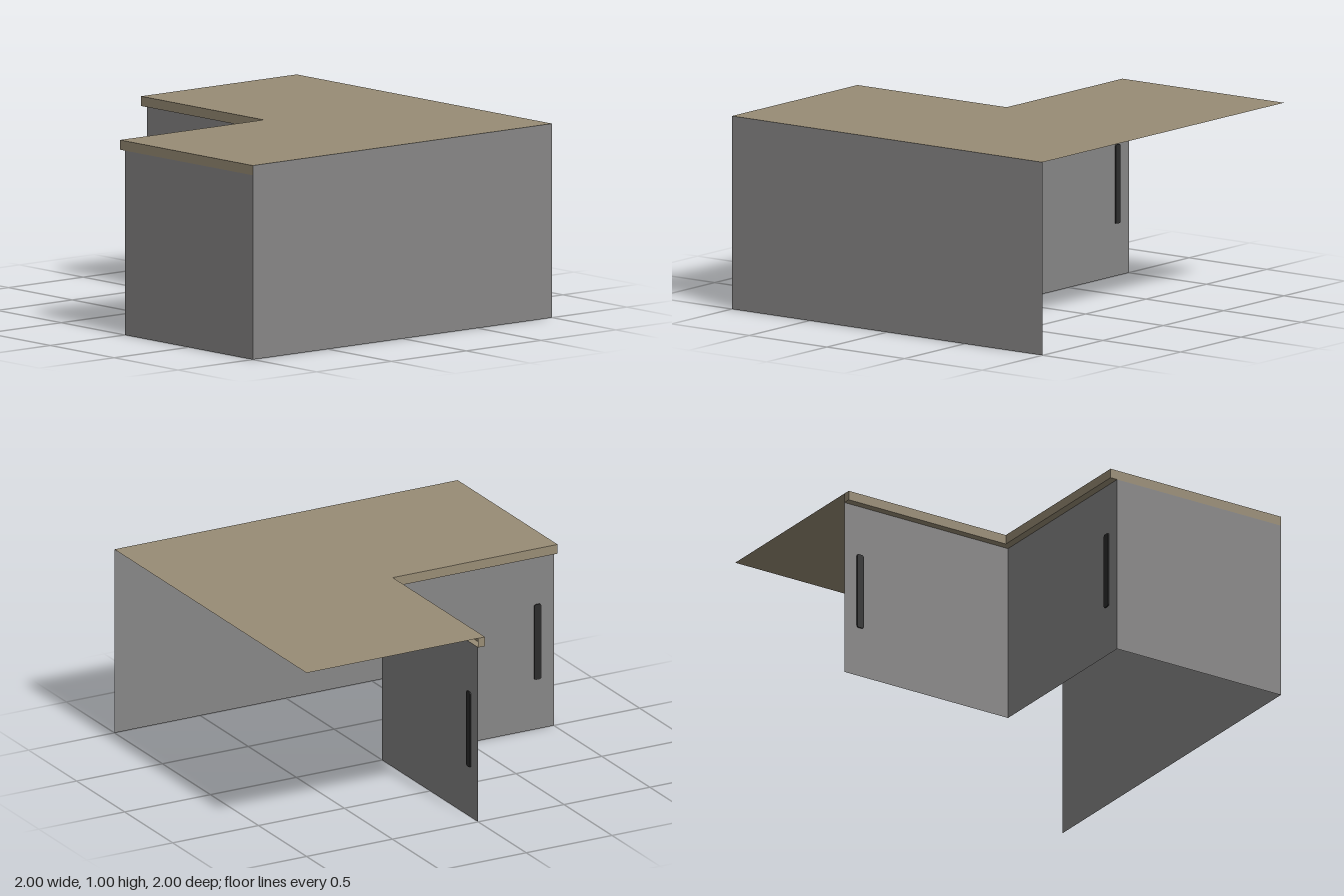
import * as THREE from 'three';

const mat = (name, color) => {
  const m = new THREE.MeshStandardMaterial({ color, side: THREE.DoubleSide });
  m.name = name;
  return m;
};

export function createModel() {
  const model = new THREE.Group();
  model.name = 'cornerCabinet';
  const grey = mat('cabinetGrey', 0x878686);
  const tan = mat('worktopTan', 0x988c75);
  const black = mat('handleBlack', 0x2c2c2c);

  const add = (name, geometry, material) => {
    const mesh = new THREE.Mesh(geometry, material);
    mesh.name = name;
    model.add(mesh);
    return mesh;
  };
  // Upright thin sheets: one across x facing z, one across z facing x
  const sheetX = (name, x0, x1, y0, y1, z, m) =>
    add(name, new THREE.PlaneGeometry(x1 - x0, y1 - y0), m).position.set((x0 + x1) / 2, (y0 + y1) / 2, z);
  const sheetZ = (name, z0, z1, y0, y1, x, m) =>
    add(name, new THREE.PlaneGeometry(z1 - z0, y1 - y0).rotateY(-Math.PI / 2), m)
      .position.set(x, (y0 + y1) / 2, (z0 + z1) / 2);
  const sheetY = (name, x0, x1, z0, z1, y, m) =>
    add(name, new THREE.PlaneGeometry(x1 - x0, z1 - z0).rotateX(-Math.PI / 2), m)
      .position.set((x0 + x1) / 2, y, (z0 + z1) / 2);

  const H = 0.95; // carcass height under the worktop
  const L = -0.04; // worktop lip in front of the doors

  // Carcass panels and the two doors meeting in the inner corner
  sheetX('longPanel', -1, 1, 0, 1, 1, grey);
  sheetZ('sidePanel', 0, 1, 0, H, -1, grey);
  sheetX('doorA', -1, 0, 0, H, 0, grey);
  sheetZ('doorB', -1, 0, 0, H, 0, grey);

  // L-shaped worktop surface (shape y becomes -z)
  const outline = [[-1, -1], [1, -1], [1, 1], [L, 1], [L, -L], [-1, -L]];
  const top = new THREE.Shape(outline.map(([x, y]) => new THREE.Vector2(x, y)));
  add('worktop', new THREE.ShapeGeometry(top).rotateX(-Math.PI / 2), tan).position.y = 1;

  // Worktop edge strips and the ledges beneath them
  sheetX('edgeStripA', -1, L, H, 1, L, tan);
  sheetZ('edgeStripB', -1, L, H, 1, L, tan);
  sheetZ('edgeStripSide', L, 1, H, 1, -1, tan);
  sheetX('edgeStripEnd', L, 0, H, 1, -1, tan);
  sheetY('ledgeA', -1, 0, L, 0, H, tan);
  sheetY('ledgeB', L, 0, -1, L, H, tan);

  // Slim rounded handles
  const w = 0.02, h = 0.205, r = 0.012;
  const bar = new THREE.Shape();
  bar.moveTo(-w + r, -h);
  bar.lineTo(w - r, -h).quadraticCurveTo(w, -h, w, -h + r);
  bar.lineTo(w, h - r).quadraticCurveTo(w, h, w - r, h);
  bar.lineTo(-w + r, h).quadraticCurveTo(-w, h, -w, h - r);
  bar.lineTo(-w, -h + r).quadraticCurveTo(-w, -h, -w + r, -h);
  const barGeometry = new THREE.ExtrudeGeometry(bar, { depth: 0.012, bevelEnabled: false, curveSegments: 4 })
    .translate(0, 0, -0.006);
  add('handleA', barGeometry, black).position.set(-0.905, 0.475, 0);
  const handleB = add('handleB', barGeometry, black);
  handleB.rotation.y = Math.PI / 2;
  handleB.position.set(0, 0.475, -0.905);

  return model;
}
